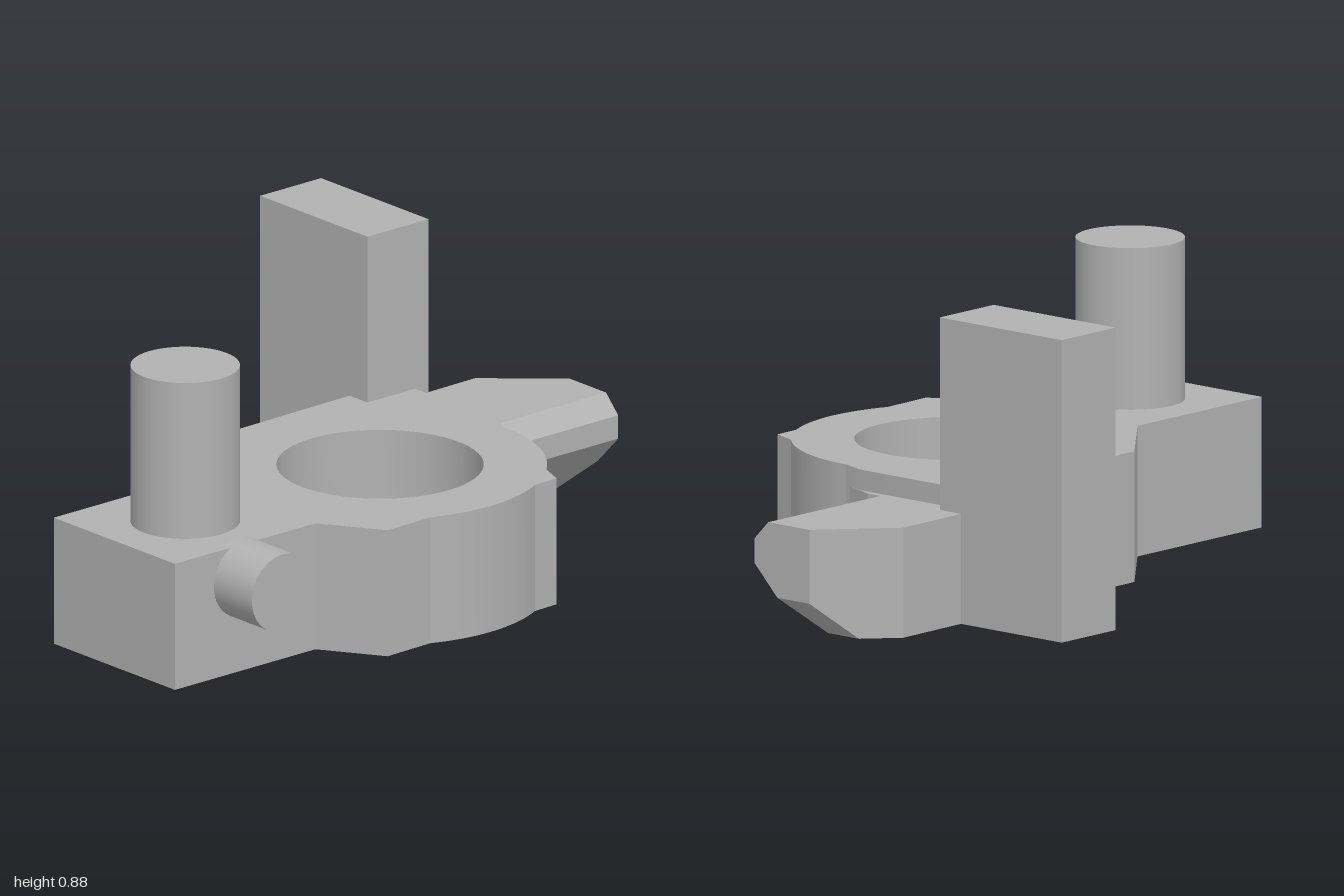
import * as THREE from 'three';
import { toCreasedNormals } from 'three/addons/utils/BufferGeometryUtils.js';
import { ConvexGeometry } from 'three/addons/geometries/ConvexGeometry.js';

export function createModel() {
  const group = new THREE.Group();
  const grey = new THREE.MeshStandardMaterial({ color: 0xb2b2b2 });
  grey.name = 'plain grey';

  const add = (name, geometry, x = 0, y = 0, z = 0) => {
    const mesh = new THREE.Mesh(geometry, grey);
    mesh.name = name;
    mesh.position.set(x, y, z);
    group.add(mesh);
    return mesh;
  };

  // Plan outlines are drawn in (x, z) and raised from the ground
  const raise = (shape, height) => {
    const g = new THREE.ExtrudeGeometry(shape, { depth: height, bevelEnabled: false, curveSegments: 32 });
    g.rotateX(Math.PI / 2).translate(0, height, 0);
    return toCreasedNormals(g, 0.35);
  };

  // Flat body around the ring, with a square lug on the right
  const cz = 0.205, ringR = 0.475;
  const body = new THREE.Shape();
  body.moveTo(-1, -0.06);
  body.lineTo(-0.47, -0.06);
  body.lineTo(-0.205, -0.285);
  body.lineTo(0.32, -0.295);
  body.lineTo(0.5, -0.297);
  body.lineTo(0.5, 0.13);
  body.absarc(0, cz, ringR, 0, 0.81, false);
  body.lineTo(0.3, 0.625);
  body.absarc(0, cz, ringR, 1.1, 1.98, false);
  body.lineTo(-0.355, 0.645);
  body.lineTo(-0.47, 0.465);
  body.lineTo(-1, 0.465);
  body.closePath();
  const bore = new THREE.Path();
  bore.absarc(0, cz, 0.295, 0, Math.PI * 2, true);
  body.holes.push(bore);
  add('body', raise(body, 0.38));

  // Small web between ring and arm
  const web = new THREE.Shape([[0.476, 0.2], [0.44, 0.1], [0.44, -0.1], [0.52, -0.1], [0.52, 0.085]]
    .map(([x, z]) => new THREE.Vector2(x, z)));
  add('web', raise(web, 0.32));

  // Bevelled arm on the left
  const arm = [
    [0.49, 0.32, -0.297], [0.8, 0.32, -0.302], [1, 0.32, -0.122], [1, 0.32, 0.035], [0.49, 0.32, 0.035],
    [0.49, 0.265, 0.088], [1, 0.265, 0.088], [0.49, 0.195, 0.088], [1, 0.195, 0.088],
    [1, 0.105, 0], [1, 0.105, -0.122],
    [0.895, 0, -0.1], [0.895, 0, -0.217], [0.8, 0, -0.302], [0.49, 0, -0.297], [0.49, 0, -0.1],
  ].map((p) => new THREE.Vector3(...p));
  add('arm', new ConvexGeometry(arm));

  // Tall rear post
  add('rearPost', new THREE.BoxGeometry(0.23, 0.88, 0.465), 0.435, 0.44, -0.45);

  // Upright and forward pins
  add('uprightPin', new THREE.CylinderGeometry(0.156, 0.156, 0.49, 48), -0.735, 0.605, 0.205);
  add('frontPin', new THREE.CylinderGeometry(0.115, 0.115, 0.19, 48), -0.738, 0.277, 0.535).rotation.x = Math.PI / 2;

  return group;
}
